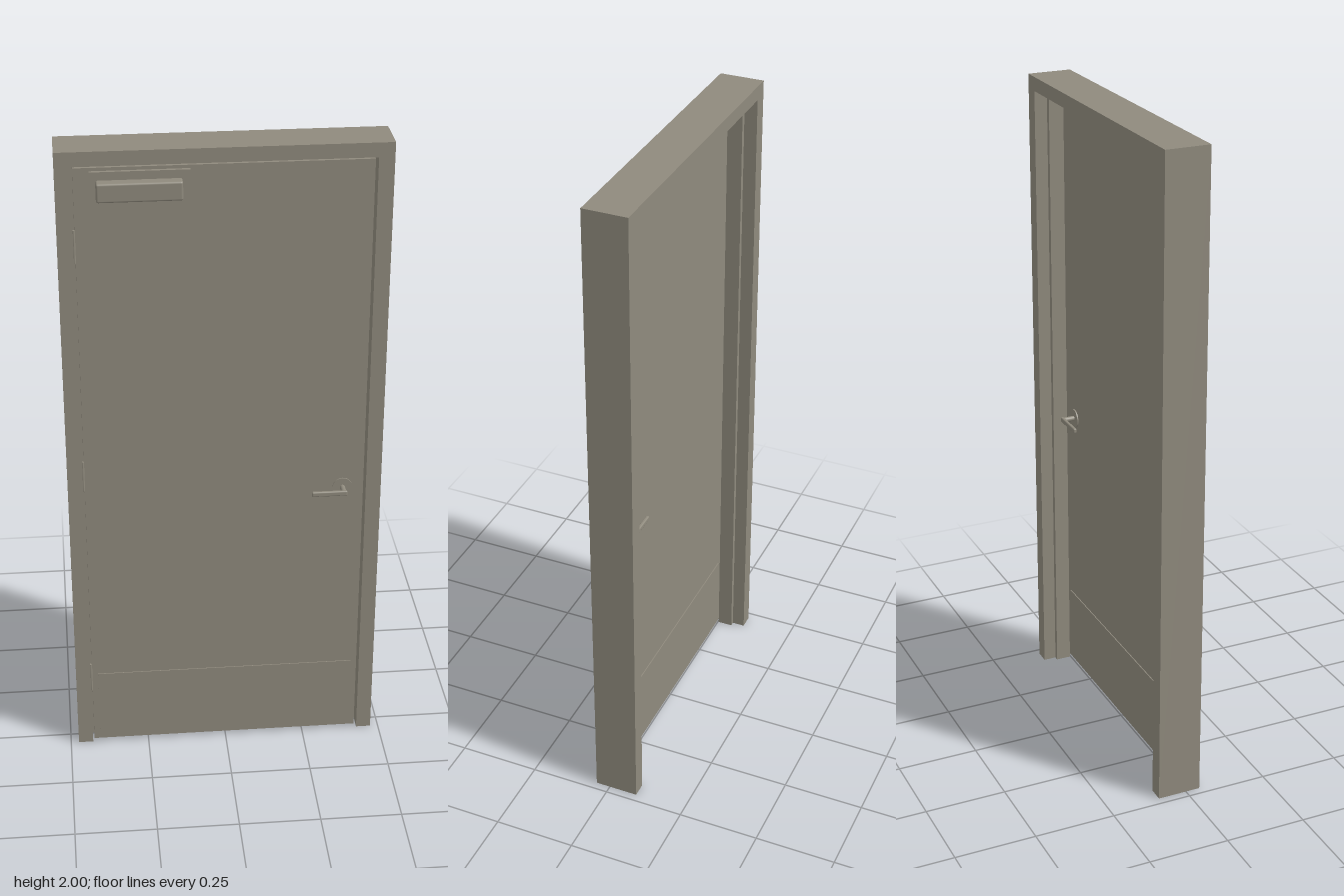
import * as THREE from 'three';
import { RoundedBoxGeometry } from 'three/addons/geometries/RoundedBoxGeometry.js';

export function createModel() {
  const door = new THREE.Group();
  door.name = 'door';
  const paint = new THREE.MeshStandardMaterial({ color: 0x8f8a7d });
  paint.name = 'warm grey';

  function add(name, geometry, parent = door) {
    const mesh = new THREE.Mesh(geometry, paint);
    mesh.name = name;
    parent.add(mesh);
    return mesh;
  }

  // Box given by its lower and upper limits on each axis
  function box(name, [x0, x1], [y0, y1], [z0, z1], parent = door, radius = 0) {
    const size = [x1 - x0, y1 - y0, z1 - z0];
    const geometry = radius
      ? new RoundedBoxGeometry(...size, 3, radius)
      : new THREE.BoxGeometry(...size);
    const mesh = add(name, geometry, parent);
    mesh.position.set((x0 + x1) / 2, (y0 + y1) / 2, (z0 + z1) / 2);
    return mesh;
  }

  const frameZ = [-0.09, 0.045];
  const stopZ = [-0.05, -0.003];
  const leafFront = 0.041;
  const leafBack = 0;

  // Frame: full-height jambs, head between them, and a stop all round
  for (const [side, s] of [['left', 1], ['right', -1]]) {
    const span = (a, b) => (s > 0 ? [a, b] : [-b, -a]);
    box(side + 'Jamb', span(0.429, 0.475), [0, 2], frameZ);
    box(side + 'Stop', span(0.414, 0.429), [0, 1.957], stopZ);
  }
  box('head', [-0.429, 0.429], [1.957, 2], frameZ);
  box('headStop', [-0.414, 0.414], [1.942, 1.957], stopZ);

  // Door leaf with a kick plate on each face
  box('leaf', [-0.424, 0.421], [0.01, 1.952], [leafBack, leafFront]);
  box('frontKickPlate', [-0.405, 0.403], [0.015, 0.262], [leafFront, leafFront + 0.003]);
  box('backKickPlate', [-0.405, 0.403], [0.015, 0.262], [leafBack - 0.003, leafBack]);

  // Hinge knuckles in the gap on the hinge side
  for (const y of [0.25, 0.98, 1.72]) {
    const hinge = add('hingeKnuckle', new THREE.CylinderGeometry(0.004, 0.004, 0.1, 12));
    hinge.position.set(-0.427, y, 0.041);
  }

  // Lever handles: rose, spindle and grip, facing outwards from each side
  for (const [side, dir, face] of [['front', 1, leafFront], ['back', -1, leafBack]]) {
    const handle = new THREE.Group();
    handle.name = side + 'Handle';
    handle.position.set(0.357, 0.905, face);
    door.add(handle);
    const out = (a, b) => (dir > 0 ? [a, b] : [-b, -a]);

    const rose = add('rose', new THREE.CylinderGeometry(0.03, 0.03, 0.004, 32), handle);
    rose.rotation.x = Math.PI / 2;
    rose.position.z = dir * 0.002;
    const spindle = add('spindle', new THREE.CylinderGeometry(0.008, 0.008, 0.042, 20), handle);
    spindle.rotation.x = Math.PI / 2;
    spindle.position.z = dir * 0.021;
    box('lever', [-0.098, 0.01], [-0.008, 0.008], out(0.035, 0.0455), handle, 0.004);
  }

  // Door closer body and its arm
  box('closerBody', [-0.362, -0.12], [1.86, 1.916], [leafFront, 0.077], door, 0.006);
  box('closerArm', [-0.38, -0.1], [1.944, 1.952], [0.067, 0.077]);

  return door;
}
